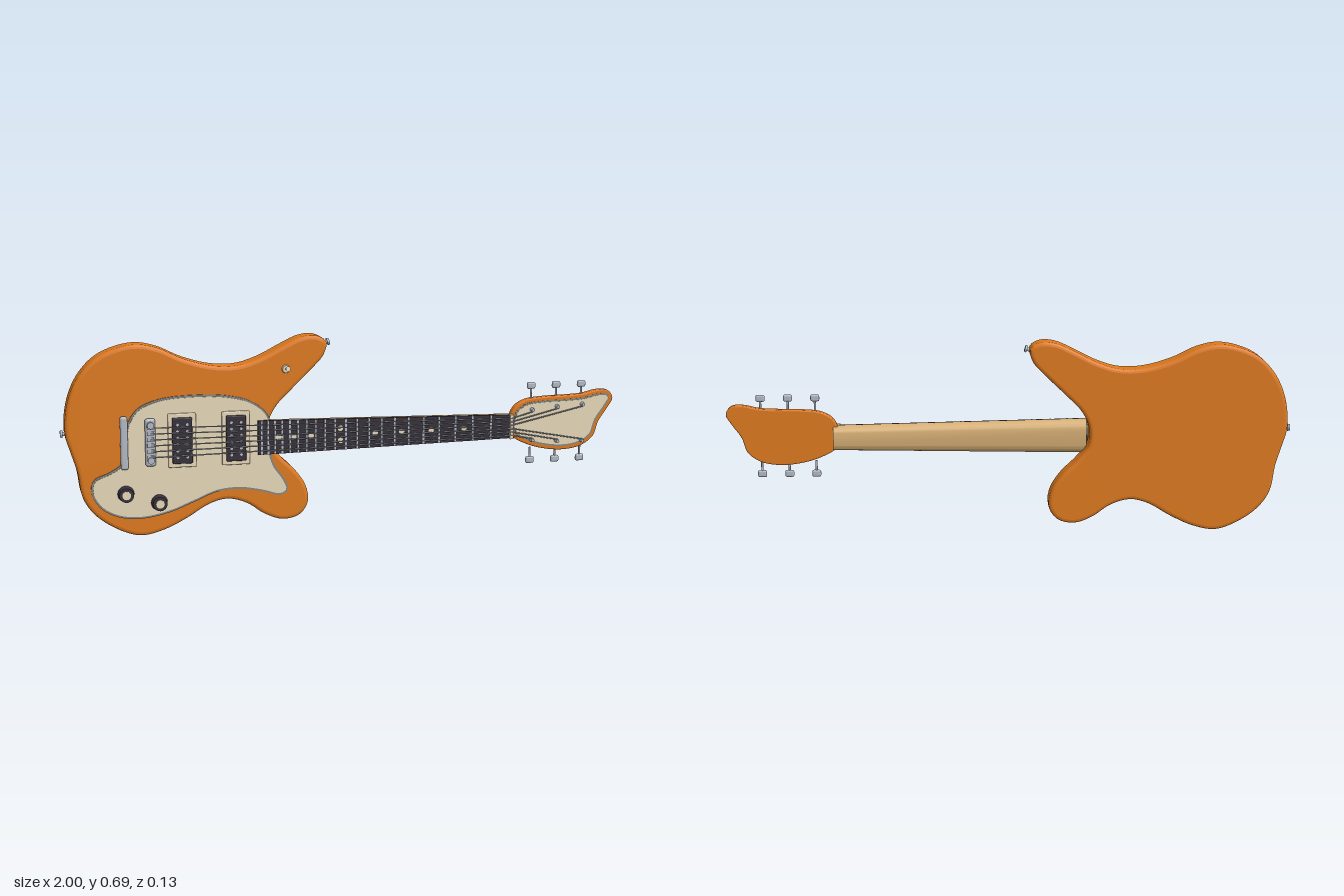
import * as THREE from 'three';
import { toCreasedNormals } from 'three/addons/utils/BufferGeometryUtils.js';
import { RoundedBoxGeometry } from 'three/addons/geometries/RoundedBoxGeometry.js';

const mat = (name, color) => {
  const m = new THREE.MeshStandardMaterial({ color });
  m.name = name;
  return m;
};

export function createModel() {
  const orange = mat('orange lacquer', 0xde7a1f);
  const cream = mat('cream plastic', 0xe8d9ba);
  const edge = mat('grey plate edge', 0x868783);
  const maple = mat('maple', 0xd8b076);
  const dark = mat('dark plastic', 0x37313a);
  const steel = mat('steel', 0xb4bac4);

  const guitar = new THREE.Group();
  guitar.name = 'electricGuitar';
  const add = (name, geometry, material, x = 0, y = 0, z = 0, parent = guitar) => {
    const mesh = new THREE.Mesh(geometry, material);
    mesh.name = name;
    mesh.position.set(x, y, z);
    parent.add(mesh);
    return mesh;
  };
  const box = (w, h, d, r = 0) => r ? new RoundedBoxGeometry(w, h, d, 2, r) : new THREE.BoxGeometry(w, h, d);
  const V = (x, y, z) => new THREE.Vector3(x, y, z);

  // Cylinder between two points, r0 at the start and r1 at the end
  const rod = (name, a, b, r0, r1, material, sides = 12, parent = guitar) => {
    const mesh = add(name, new THREE.CylinderGeometry(r1, r0, a.distanceTo(b), sides), material, 0, 0, 0, parent);
    mesh.position.copy(a).add(b).multiplyScalar(0.5);
    mesh.quaternion.setFromUnitVectors(V(0, 1, 0), b.clone().sub(a).normalize());
    return mesh;
  };

  // Closed smooth outline, optionally moved inward
  const outline = (pts, inset = 0, n = 120) => {
    const curve = new THREE.CatmullRomCurve3(pts.map(([x, y]) => V(x, y, 0)), true, 'centripetal');
    const p = curve.getSpacedPoints(n).slice(0, n);
    return p.map((q, i) => {
      const t = p[(i + 1) % n].clone().sub(p[(i + n - 1) % n]).normalize();
      return new THREE.Vector2(q.x + t.y * inset, q.y - t.x * inset); // outlines run clockwise
    });
  };
  // Slab from z0 to z1 with a rounded rim and flat faces
  const slab = (points, z0, z1, bevel) => {
    const g = new THREE.ExtrudeGeometry(new THREE.Shape(points), {
      depth: z1 - z0 - 2 * bevel, bevelEnabled: bevel > 0, bevelThickness: bevel,
      bevelSize: bevel, bevelOffset: -bevel, bevelSegments: 3,
    });
    g.translate(0, 0, z0 + bevel);
    return toCreasedNormals(g, 0.22);
  };

  // Body
  const bodyPts = [
    [-0.99, 0.37], [-0.98, 0.476], [-0.94, 0.567], [-0.87, 0.636], [-0.754, 0.672], [-0.674, 0.66],
    [-0.578, 0.617], [-0.48, 0.59], [-0.39, 0.588], [-0.31, 0.612], [-0.23, 0.652], [-0.166, 0.68],
    [-0.112, 0.684], [-0.075, 0.661], [-0.085, 0.615], [-0.134, 0.561], [-0.2, 0.497], [-0.257, 0.438],
    [-0.283, 0.385], [-0.283, 0.315], [-0.246, 0.262], [-0.187, 0.203], [-0.15, 0.144], [-0.144, 0.086],
    [-0.176, 0.043], [-0.235, 0.03], [-0.3, 0.053], [-0.364, 0.096], [-0.433, 0.115], [-0.497, 0.1],
    [-0.578, 0.053], [-0.658, 0.016], [-0.738, 0.0], [-0.818, 0.026], [-0.898, 0.084], [-0.936, 0.144],
    [-0.952, 0.235], [-0.973, 0.305]];
  add('body', slab(outline(bodyPts, 0, 180), -0.063, 0.024, 0.013), orange);

  // Pickguard: grey edge under a cream face
  const guardPts = [
    [-0.79, 0.33], [-0.78, 0.396], [-0.745, 0.45], [-0.67, 0.482], [-0.55, 0.492], [-0.44, 0.487],
    [-0.353, 0.465], [-0.295, 0.422], [-0.278, 0.38], [-0.285, 0.31], [-0.268, 0.235], [-0.23, 0.178],
    [-0.218, 0.14], [-0.245, 0.122], [-0.31, 0.138], [-0.39, 0.152], [-0.47, 0.146], [-0.55, 0.115],
    [-0.64, 0.081], [-0.738, 0.064], [-0.818, 0.074], [-0.877, 0.108], [-0.908, 0.164], [-0.898, 0.208],
    [-0.845, 0.232], [-0.802, 0.262]];
  add('pickguardEdge', slab(outline(guardPts), 0.022, 0.029, 0), edge);
  add('pickguard', slab(outline(guardPts, 0.007), 0.024, 0.031, 0), cream);

  // Headstock with its face plate
  const headPts = [
    [0.597, 0.335], [0.618, 0.4], [0.66, 0.427], [0.73, 0.436], [0.81, 0.438], [0.88, 0.442],
    [0.94, 0.454], [0.98, 0.45], [0.998, 0.422], [0.978, 0.385], [0.945, 0.337], [0.925, 0.283],
    [0.88, 0.25], [0.81, 0.237], [0.73, 0.245], [0.66, 0.267], [0.613, 0.295]];
  add('headstock', slab(outline(headPts), 0.008, 0.036, 0.005), orange);
  add('headPlateEdge', slab(outline(headPts, 0.014), 0.033, 0.037, 0), edge);
  add('headPlate', slab(outline(headPts, 0.02), 0.034, 0.0385, 0), cream);

  // Neck and fretboard taper from body to nut
  const X0 = -0.326, X1 = 0.6, midY = 0.333;
  const halfAt = (x) => THREE.MathUtils.lerp(0.061, 0.043, (x - X0) / (X1 - X0));
  const taper = (g) => {
    const p = g.attributes.position;
    for (let i = 0; i < p.count; i++) p.setY(i, midY + p.getY(i) * halfAt(p.getX(i)));
    g.computeVertexNormals();
    return g;
  };
  const section = new THREE.Shape();
  section.moveTo(-0.031, 1);
  section.lineTo(-0.031, -1);
  section.lineTo(-0.008, -0.98);
  section.bezierCurveTo(0.005, -0.9, 0.01, -0.7, 0.011, -0.4);
  section.lineTo(0.011, 0.4);
  section.bezierCurveTo(0.01, 0.7, 0.005, 0.9, -0.008, 0.98);
  const neck = new THREE.ExtrudeGeometry(section, { depth: 0.9, bevelEnabled: false, curveSegments: 8 });
  neck.rotateY(Math.PI / 2); // section x becomes -z, depth becomes x
  neck.translate(-0.28, 0, 0);
  add('neck', toCreasedNormals(taper(neck), 0.7), maple);
  const board = box(X1 - X0, 2, 0.011);
  board.translate((X0 + X1) / 2, 0, 0.0355);
  add('fretboard', taper(board), dark);
  add('nut', box(0.012, 0.09, 0.022), cream, 0.604, midY, 0.042);

  // Frets and position dots
  const scale = X1 + 0.7;
  const fretX = (n) => X1 - scale * (1 - Math.pow(2, -n / 12));
  for (let n = 1; n <= 21; n++) {
    add('fret', box(0.006, 2 * halfAt(fretX(n)), 0.004), steel, fretX(n), midY, 0.042);
  }
  const dot = new THREE.CylinderGeometry(0.01, 0.01, 0.002, 14).rotateX(Math.PI / 2);
  for (const n of [3, 5, 7, 9, 12, 15, 17, 19]) {
    const x = (fretX(n) + fretX(n - 1)) / 2;
    for (const y of n === 12 ? [-0.022, 0.022] : [0]) add('fretDot', dot, cream, x, midY + y, 0.041);
  }

  // Pickups
  for (const x of [-0.592, -0.404]) {
    const pickup = new THREE.Group();
    pickup.name = 'pickup';
    pickup.position.set(x, 0.336, 0);
    guitar.add(pickup);
    add('pickupRing', box(0.098, 0.19, 0.012, 0.004), cream, 0, 0, 0.033, pickup);
    add('pickupCover', box(0.07, 0.162, 0.018, 0.004), dark, 0, 0, 0.037, pickup);
    for (const sx of [-0.017, 0.017]) for (let i = 0; i < 6; i++) {
      rod('polePiece', V(sx, (i - 2.5) * 0.023, 0.044), V(sx, (i - 2.5) * 0.023, 0.048), 0.005, 0.005, steel, 10, pickup);
    }
  }

  // Bridge and tailpiece
  add('bridge', box(0.036, 0.168, 0.02, 0.009), steel, -0.703, 0.335, 0.042);
  for (let i = 0; i < 6; i++) add('saddle', box(0.024, 0.013, 0.012), steel, -0.703, 0.284 + i * 0.021, 0.051);
  for (const y of [0.274, 0.397]) rod('bridgePost', V(-0.703, y, 0.028), V(-0.703, y, 0.064), 0.012, 0.012, steel);
  add('tailpiece', box(0.026, 0.186, 0.02, 0.008), steel, -0.793, 0.336, 0.042);
  for (const y of [0.262, 0.41]) rod('tailpiecePost', V(-0.793, y, 0.024), V(-0.793, y, 0.04), 0.009, 0.009, steel);

  // Tuners: posts, shafts and buttons on both sides; strings run to each post
  const tunerX = [0.684, 0.78, 0.877];
  const postY = { 1: [0.392, 0.4, 0.405], '-1': [0.28, 0.273, 0.27] };
  const stringRadius = (i) => 0.0022 + 0.0003 * (5 - i) / 5;
  for (const s of [1, -1]) tunerX.forEach((x, k) => {
    const y = postY[s][k], endY = s > 0 ? 0.478 : 0.203;
    rod('tunerPost', V(x, y, 0.034), V(x, y, 0.056), 0.008, 0.006, steel);
    rod('tunerShaft', V(x, s > 0 ? 0.425 : 0.25, 0.024), V(x, endY, 0.024), 0.004, 0.004, steel, 8);
    add('tunerButton', box(0.032, 0.025, 0.014, 0.0068), steel, x, endY, 0.024);
    const row = s > 0 ? 5 - k : k;
    const start = V(-0.703, 0.284 + row * 0.0208, 0.056);
    const atNut = V(0.604, 0.302 + row * 0.0126, 0.054);
    rod('string', start, atNut, stringRadius(row), stringRadius(row), steel, 6);
    rod('stringEnd', atNut, V(x, y + s * -0.006, 0.051), stringRadius(row), stringRadius(row), steel, 6);
  });

  // Control knobs
  for (const [x, y] of [[-0.79, 0.155], [-0.675, 0.119]]) {
    rod('knob', V(x, y, 0.03), V(x, y, 0.059), 0.029, 0.025, dark, 24);
    rod('knobCap', V(x, y, 0.058), V(x, y, 0.061), 0.015, 0.015, cream, 20);
  }

  // Toggle switch
  rod('switchNut', V(-0.222, 0.571, 0.022), V(-0.222, 0.571, 0.031), 0.016, 0.013, cream, 16);
  rod('switchLever', V(-0.222, 0.571, 0.03), V(-0.222, 0.575, 0.052), 0.004, 0.005, cream);
  rod('switchTip', V(-0.222, 0.575, 0.051), V(-0.222, 0.577, 0.065), 0.006, 0.009, cream);

  // Strap buttons
  const strap = (from, dir) => {
    const at = (d) => from.clone().addScaledVector(dir, d);
    rod('strapButtonStem', at(-0.01), at(0.015), 0.009, 0.006, steel);
    rod('strapButtonCap', at(0.013), at(0.021), 0.013, 0.012, steel, 16);
  };
  strap(V(-0.078, 0.652, -0.02), V(0.95, 0.3, 0).normalize());
  strap(V(-0.984, 0.366, -0.02), V(-1, 0, 0));

  return guitar;
}
